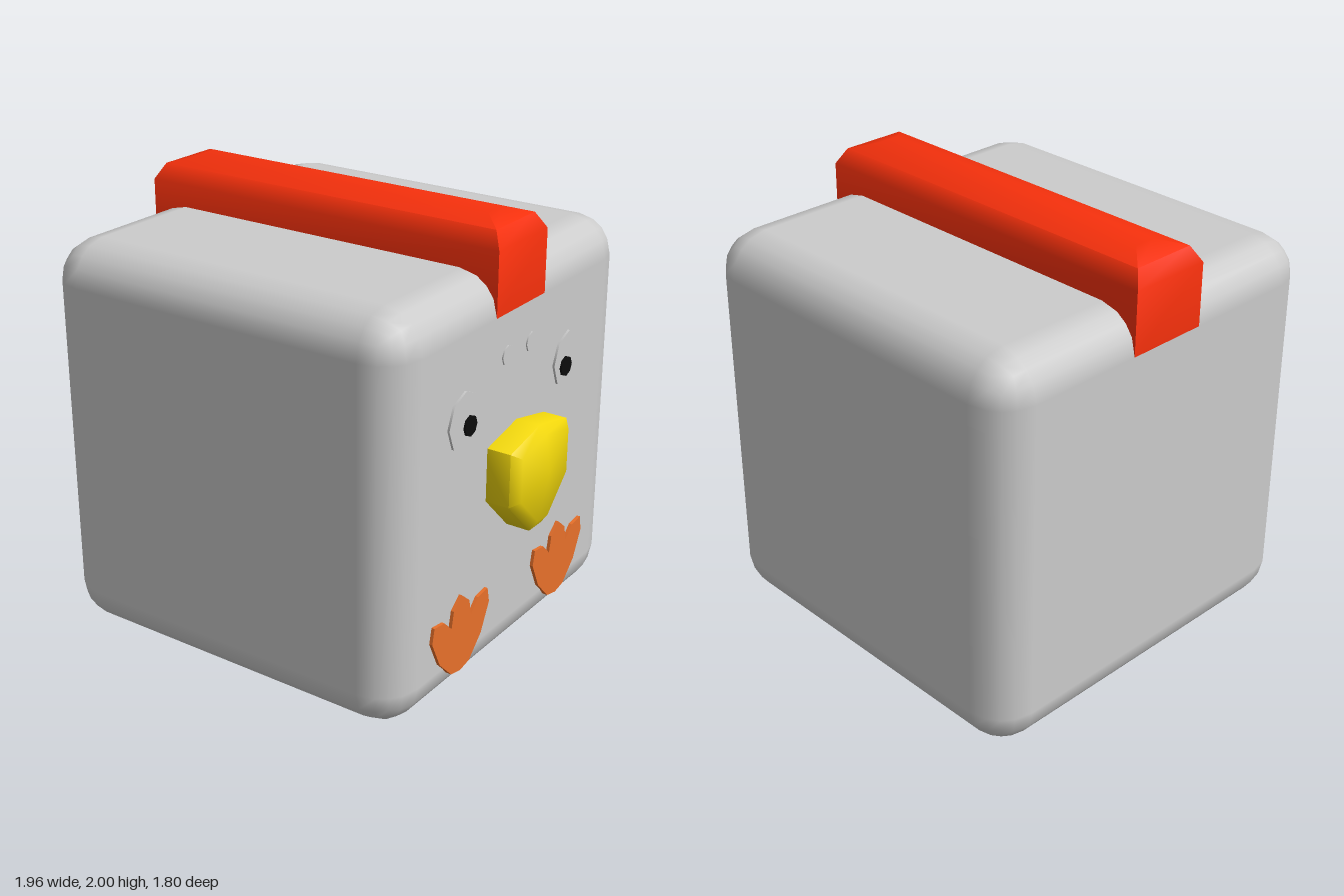
import * as THREE from 'three';
import { toCreasedNormals } from 'three/addons/utils/BufferGeometryUtils.js';
import { RoundedBoxGeometry } from 'three/addons/geometries/RoundedBoxGeometry.js';

const FACE_X = 0.81; // plane of the face side

const material = (color) => new THREE.MeshStandardMaterial({ color });
const grey = material(0xcccccc);
const red = material(0xf5300c);
const yellow = material(0xf0d60a);
const orange = material(0xe8702a);
const black = material(0x0c0c0c);

function add(parent, name, geometry, mat, x = 0, y = 0, z = 0) {
  const mesh = new THREE.Mesh(geometry, mat);
  mesh.name = name;
  mesh.position.set(x, y, z);
  parent.add(mesh);
  return mesh;
}

// Skin a list of equal-length rings (counter-clockwise seen from the last ring)
// and close both ends with a fan.
function loft(rings, tip, crease) {
  const n = rings[0].length;
  const last = rings.length - 1;
  const base = rings[0].reduce((s, p) => s.add(p), new THREE.Vector3()).divideScalar(n);
  const points = [...rings.flat(), base, tip];
  const index = [];
  for (let j = 0; j < n; j++) {
    const k = (j + 1) % n;
    for (let i = 0; i < last; i++) {
      const a = i * n + j, b = i * n + k;
      index.push(a, b, b + n, a, b + n, a + n);
    }
    index.push(k, j, points.length - 2);
    index.push(last * n + j, last * n + k, points.length - 1);
  }
  const g = new THREE.BufferGeometry().setFromPoints(points);
  g.setIndex(index);
  return toCreasedNormals(g, crease);
}

// Thin faceted disc facing +x
function disc(ry, rz, thickness) {
  const g = new THREE.CylinderGeometry(1, 1, thickness, 8);
  g.rotateZ(-Math.PI / 2);
  return g.scale(1, ry, rz);
}

// Bar with sharp uprights and a top that rounds in on all four sides
function combGeometry() {
  const levels = [[1.62, 0], [1.9, 0], [1.97, 0.04], [2.0, 0.14]]; // height, inset
  const rings = levels.map(([y, inset]) => {
    const x = 0.895 - inset, z = 0.19 - inset;
    return [[x, z], [x, -z], [-x, -z], [-x, z]].map(([px, pz]) => new THREE.Vector3(px, y, pz));
  });
  return loft(rings, new THREE.Vector3(0, 2.0, 0), 0.85);
}

// Shield-shaped beak swelling towards +x
function beakGeometry() {
  const outline = [[0.23, 1.07], [0, 1.12], [-0.23, 1.07], [-0.23, 0.83],
    [-0.05, 0.65], [0.05, 0.65], [0.23, 0.83]];
  const centre = 0.92;
  const rings = [[0.78, 1], [0.92, 1], [0.955, 0.82]].map(([x, s]) =>
    outline.map(([u, y]) => new THREE.Vector3(x, centre + (y - centre) * s, -u * s)));
  return loft(rings, new THREE.Vector3(0.977, centre, 0), 0.9);
}

// Three-toed flat foot, mirrored about its own middle
function footGeometry() {
  const half = [[0, 0.48], [0.06, 0.43], [0.075, 0.355], [0.13, 0.41], [0.205, 0.42],
    [0.22, 0.35], [0.16, 0.225], [0.07, 0.135], [0, 0.12]];
  const mirrored = half.slice(1, -1).reverse().map(([u, y]) => [-u, y]);
  const shape = new THREE.Shape([...half, ...mirrored].map(([u, y]) => new THREE.Vector2(u, y)));
  const g = new THREE.ExtrudeGeometry(shape, { depth: 0.03, bevelEnabled: false });
  return g.rotateY(Math.PI / 2);
}

export function createModel() {
  const model = new THREE.Group();
  model.name = 'cubeChicken';

  // Body and comb share the same length along x
  add(model, 'body', new RoundedBoxGeometry(1.79, 1.8, 1.8, 2, 0.18), grey, -0.085, 0.9, 0);
  add(model, 'comb', combGeometry(), red, -0.085, 0, 0);

  // Face
  add(model, 'beak', beakGeometry(), yellow);
  for (const [side, eyeZ, pupilZ, footZ, nostrilZ] of [
    ['left', 0.418, 0.393, 0.42, 0.095],
    ['right', -0.41, -0.38, -0.39, -0.095],
  ]) {
    add(model, side + 'Eye', disc(0.13, 0.122, 0.02), grey, FACE_X, 1.26, eyeZ);
    add(model, side + 'Pupil', disc(0.045, 0.045, 0.03), black, FACE_X + 0.005, 1.235, pupilZ);
    add(model, side + 'Nostril', disc(0.045, 0.045, 0.02), grey, FACE_X - 0.004, 1.435, nostrilZ);
    add(model, side + 'Foot', footGeometry(), orange, FACE_X - 0.015, 0, footZ);
  }
  return model;
}
